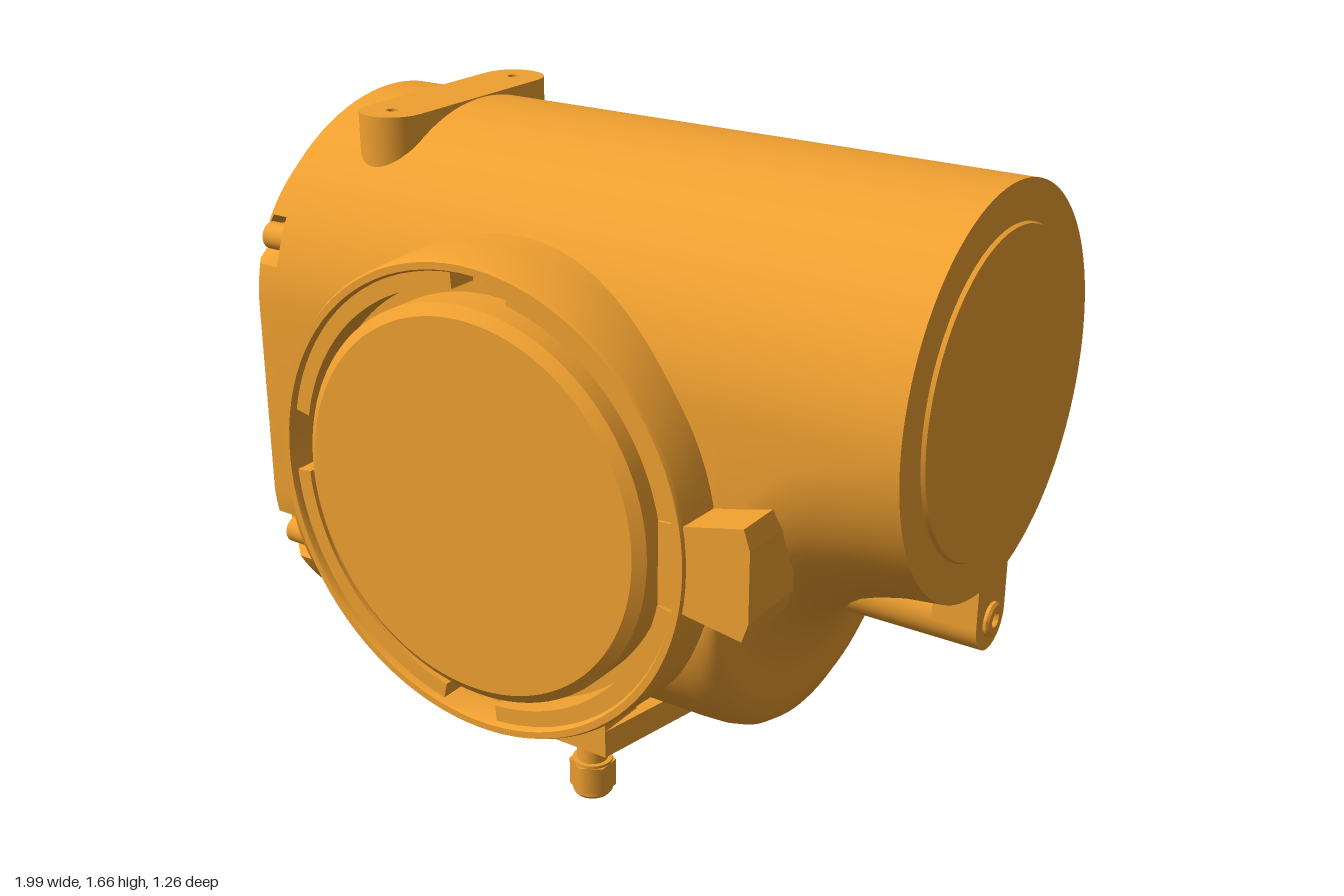
import * as THREE from 'three';
import { toCreasedNormals } from 'three/addons/utils/BufferGeometryUtils.js';

const material = new THREE.MeshStandardMaterial({ color: 0xf0a030 });
const R = 0.503, TOP = 1.152, LOW = 0.643, MID = 0.9, AXIS_Z = -0.033;

function add(parent, name, geometry, x = 0, y = 0, z = 0) {
  const mesh = new THREE.Mesh(geometry, material);
  mesh.name = name;
  mesh.position.set(x, y, z);
  parent.add(mesh);
  return mesh;
}

// Lathe or cylinder whose axis is turned to +x
const alongX = (g) => g.rotateZ(-Math.PI / 2);
const lathe = (pts, seg = 64) =>
  toCreasedNormals(new THREE.LatheGeometry(pts.map((p) => new THREE.Vector2(...p)), seg), 0.5);
const extrude = (shape, depth) =>
  new THREE.ExtrudeGeometry(shape, { depth, bevelEnabled: false, curveSegments: 20 });
const polygon = (pts) => new THREE.Shape(pts.map((p) => new THREE.Vector2(...p)));

// Main housing: oval cross-sections lofted along x, the lower arc rising into a round neck
function housingGeometry() {
  const N = 96;
  const section = (r, low, xAt, scale = 1, notched = false) => {
    const ring = [];
    for (let j = 0; j < N; j++) {
      const t = ((j + 0.5) / N) * Math.PI * 2;
      let y = (Math.cos(t) > 0 ? TOP : low) + r * Math.cos(t);
      let z = r * Math.sin(t);
      // screw pockets at the chamfered end
      if (notched && Math.abs(Math.abs(y - MID) - 0.425) < 0.055)
        z = Math.sign(z) * Math.min(Math.abs(z), 0.37);
      y = MID + (y - MID) * scale;
      z *= scale;
      ring.push([xAt(y), y, z + AXIS_Z]);
    }
    return ring;
  };
  const bow = (x0) => (y) => x0 + 0.06 * ((y - MID) / 0.755) ** 2;
  const rings = [];
  // bowed end face, chamfer, pocket wall
  for (const s of [0, 0.25, 0.5, 0.75, 1]) rings.push(section(R - 0.09, LOW, bow(-0.99), s, s === 1));
  rings.push(section(R, LOW, bow(-0.9), 1, true));
  rings.push(section(R, LOW, () => -0.832, 1, true));
  // underside profile: x, y of the lowest point
  const under = [[-0.83, 0.14], [-0.4, 0.14], [0, 0.14], [0.36, 0.14], [0.42, 0.143], [0.46, 0.153],
    [0.49, 0.175], [0.51, 0.21], [0.522, 0.25], [0.53, 0.3], [0.54, 0.35], [0.555, 0.4], [0.58, 0.455],
    [0.615, 0.505], [0.66, 0.55], [0.72, 0.59], [0.79, 0.617], [0.87, 0.637], [0.973, 0.649]];
  for (const [x, y] of under) rings.push(section(R, y + R, () => x));
  rings.push(rings.at(-1).map(() => [0.973, TOP, AXIS_Z]));

  const index = [];
  for (let i = 0; i < rings.length - 1; i++)
    for (let j = 0; j < N; j++) {
      const k = (j + 1) % N;
      const a = i * N + j, b = i * N + k, c = b + N, d = a + N;
      index.push(a, b, d, b, c, d);
    }
  const g = new THREE.BufferGeometry();
  g.setAttribute('position', new THREE.Float32BufferAttribute(rings.flat(2), 3));
  g.setIndex(index);
  return toCreasedNormals(g, 0.62);
}

// Round access port: skirt, rim, groove with locking lugs and a proud cover disc
function port(name, floor) {
  const g = new THREE.Group();
  g.name = name;
  add(g, 'portRim', lathe([[0.632, 0.1], [0.625, 0.45], [0.618, 0.585], [0.612, 0.597], [0.594, 0.597],
    [0.588, 0.585], [0.588, floor], [0.515, floor], [0.515, 0.595], [0.487, 0.616], [0, 0.616]], 96)
    .rotateX(Math.PI / 2));
  for (let i = 0; i < 4; i++) {
    const a = i * Math.PI / 2 + 0.08, b = a + 1.28;
    const s = new THREE.Shape();
    s.absarc(0, 0, 0.59, a, b, false);
    s.absarc(0, 0, 0.545, b, a, true);
    add(g, 'lockingLug', extrude(s, 0.58 - floor), 0, 0, floor);
  }
  return g;
}

export function createModel() {
  const root = new THREE.Group();
  root.name = 'instrumentHousing';
  const body = new THREE.Group();
  body.name = 'housingAssembly';
  body.rotation.y = -0.024;
  root.add(body);

  add(body, 'housing', housingGeometry());

  // Front and back ports
  const front = port('frontPort', 0.5);
  front.position.set(-0.1, 0.825, 0);
  const back = port('backPort', 0.545);
  back.position.copy(front.position);
  back.rotation.y = Math.PI;
  body.add(front, back);

  // Cover disc on the neck end
  add(body, 'neckCover', alongX(lathe([[0.405, 0], [0.4, 0.012], [0, 0.012]])), 0.971, TOP, AXIS_Z);

  // Flat mounting bar with two screw holes on top
  const bar = new THREE.Shape();
  bar.absarc(0, 0.245, 0.088, 0, Math.PI, false);
  bar.absarc(0, -0.245, 0.088, Math.PI, Math.PI * 2, false);
  for (const y of [-0.25, 0.25]) {
    const hole = new THREE.Path();
    hole.absarc(0, y, 0.015, 0, Math.PI * 2, true);
    bar.holes.push(hole);
  }
  add(body, 'mountingBar', extrude(bar, 0.22).rotateX(-Math.PI / 2), -0.622, 1.438, -0.033);

  // Screws in the end pockets
  for (const y of [MID - 0.425, MID + 0.425])
    for (const side of [-1, 1]) {
      const z = AXIS_Z + side * 0.425;
      add(body, 'endScrew', alongX(new THREE.CylinderGeometry(0.036, 0.036, 0.08, 24)), -0.865, y, z);
      add(body, 'endScrewTip', alongX(new THREE.CylinderGeometry(0.018, 0.018, 0.1, 6)), -0.865, y, z);
    }

  // Side latch block beside the front port
  const latch = polygon([[0.44, 0.72], [0.5, 0.715], [0.665, 0.69], [0.682, 0.74], [0.682, 0.92],
    [0.665, 0.97], [0.51, 0.935], [0.44, 0.93]]);
  add(body, 'latchBlock', extrude(latch, 0.2), 0, 0, 0.388);

  // Screw lug under the neck: long boss, end tab and screw
  const lug = new THREE.Group();
  lug.name = 'screwLug';
  lug.position.set(0, 0.53, -0.11);
  body.add(lug);
  add(lug, 'lugBoss', alongX(new THREE.CylinderGeometry(0.082, 0.082, 0.47, 32)), 0.728, 0, 0);
  add(lug, 'lugTab', new THREE.BoxGeometry(0.12, 0.17, 0.164), 0.903, 0.085, 0);
  add(lug, 'lugScrew', alongX(lathe([[0.045, 0], [0.045, 0.008], [0.038, 0.014], [0.02, 0.014],
    [0.016, 0.002], [0, 0.002]], 32)), 0.963, 0, 0);

  // Cable gland on a wedge boss underneath
  const wedge = polygon([[-0.17, -0.1], [0.16, -0.1], [0.09, -0.47], [-0.08, -0.47]]);
  add(body, 'glandBoss', extrude(wedge, 0.075).rotateX(-Math.PI / 2), 0.115, 0.163, 0);
  const upper = polygon([[-0.08, -0.33], [0.09, -0.33], [0.09, -0.47], [-0.08, -0.47]]);
  add(body, 'glandBossRoot', extrude(upper, 0.14).rotateX(-Math.PI / 2), 0.115, 0.163, 0);
  add(body, 'glandNeck', new THREE.CylinderGeometry(0.04, 0.04, 0.1, 32), 0.115, 0.13, 0.4);
  add(body, 'glandNut', new THREE.CylinderGeometry(0.06, 0.06, 0.075, 6), 0.115, 0.055, 0.4);
  add(body, 'glandNutEnd', lathe([[0, 0], [0.046, 0], [0.052, 0.008], [0.052, 0.1], [0, 0.1]], 32),
    0.115, 0, 0.4);

  // Drain plug with a groove
  add(body, 'drainPlug', lathe([[0, 0], [0.05, 0], [0.055, 0.006], [0.055, 0.022], [0.046, 0.024],
    [0.046, 0.032], [0.058, 0.034], [0.058, 0.07]], 40), 0.295, 0.098, -0.023);

  return root;
}
